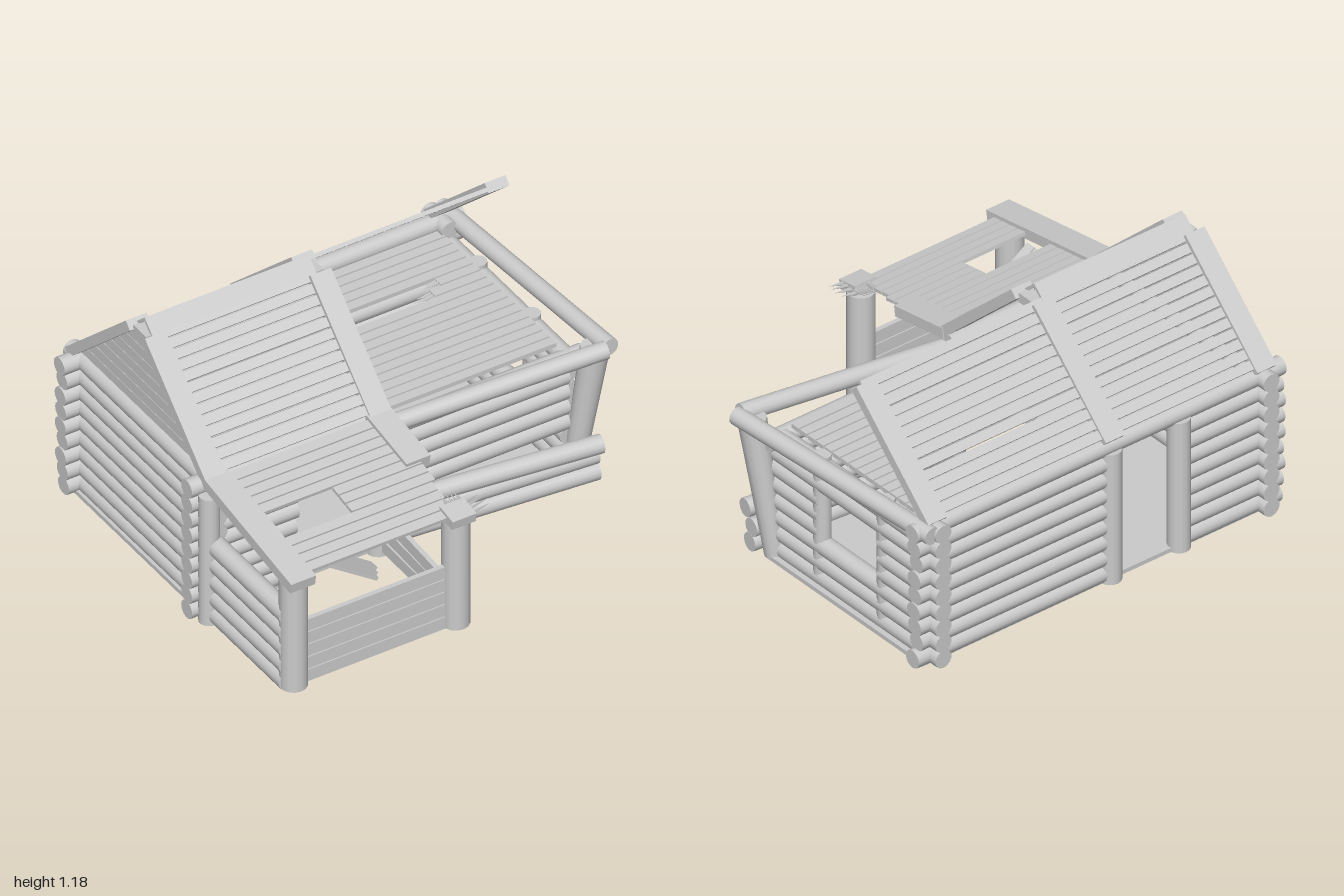
import * as THREE from 'three';

const mat = new THREE.MeshStandardMaterial({ color: 0xcccccc });
const UP = new THREE.Vector3(0, 1, 0);
const R = 0.042, STEP = 0.077;
const rowY = (i) => R + STEP * i;

export function createModel() {
  const model = new THREE.Group();
  let parent = model;
  let seed = 7;
  const rand = () => (seed = (seed * 16807) % 2147483647) / 2147483647;

  function section(name) {
    parent = new THREE.Group();
    parent.name = name;
    model.add(parent);
  }
  function add(name, geometry) {
    const mesh = new THREE.Mesh(geometry, mat);
    mesh.name = name;
    parent.add(mesh);
    return mesh;
  }
  // Round log between two points
  function log(name, a, b, r = R, r2 = r) {
    const p = new THREE.Vector3(...a), q = new THREE.Vector3(...b);
    const d = q.clone().sub(p);
    const m = add(name, new THREE.CylinderGeometry(r2, r, d.length(), 14));
    m.position.copy(p).add(q).multiplyScalar(0.5);
    m.quaternion.setFromUnitVectors(UP, d.normalize());
  }
  function box(name, w, h, d, x, y, z) {
    const m = add(name, new THREE.BoxGeometry(w, h, d));
    m.position.set(x, y, z);
    return m;
  }
  // Board lying in the slope from [y0, z0] to [y1, z1], spanning x0 to x1
  function slab(name, x0, x1, [y0, z0], [y1, z1], t, gap = 0) {
    const dy = y1 - y0, dz = z1 - z0;
    const m = box(name, x1 - x0, t, Math.hypot(dy, dz) - gap, (x0 + x1) / 2, (y0 + y1) / 2, (z0 + z1) / 2);
    m.rotation.x = Math.atan2(-dy, dz);
  }
  // Row of boards along x; span(i) may shorten or drop a board
  function deck(name, x0, x1, a, b, n, t, gap, span = () => [[x0, x1]]) {
    const at = (k) => [a[0] + (b[0] - a[0]) * k / n, a[1] + (b[1] - a[1]) * k / n];
    for (let i = 0; i < n; i++)
      for (const [s, e] of span(i)) slab(name, s, e, at(i), at(i + 1), t, gap);
  }
  // Pointed slivers at a broken end
  function splinters(x, y, z, n, spread, dir) {
    for (let i = 0; i < n; i++) {
      const k = (i / (n - 1) - 0.5) * spread;
      const len = 0.05 + rand() * 0.06;
      const m = add('splinter', new THREE.ConeGeometry(0.012, len, 4));
      m.quaternion.setFromUnitVectors(UP, new THREE.Vector3(...dir).normalize());
      m.position.set(x + k * Math.abs(dir[2]), y + (rand() - 0.5) * 0.02, z + k * Math.abs(dir[0]))
        .addScaledVector(new THREE.Vector3(...dir).normalize(), len / 2);
    }
  }

  section('floor');
  box('floorSlab', 1.83, 0.02, 1.02, -0.025, 0.01, -0.31);

  section('backWall');
  for (let i = 0; i < 9; i++) {
    const y = rowY(i), z = -0.8;
    if (i === 8) log('topLog', [-1, y, z], [0.93, y, z]);
    else {
      log('wallLog', [-0.98 - rand() * 0.02, y, z], [-0.46, y, z]);
      log('wallLog', [-0.1, y, z], [0.9 + rand() * 0.03, y, z]);
    }
  }
  for (const x of [-0.46, -0.1]) log('doorPost', [x, 0, -0.81], [x, 0.64, -0.81], 0.05);

  section('frontWall');
  for (let i = 0; i < 9; i++) {
    const y = rowY(i), z = 0.17;
    if (i === 8) {
      log('topLog', [-1, y, z], [-0.05, y, z]);
      continue;
    }
    log('wallLog', [-1, y, z], [-0.5 + rand() * 0.02, y, z]);
    // The lowest logs have slid outwards at the far corner
    if (i < 3) log('slippedLog', [-0.06, y, 0.18], [0.91, y, [0.27, 0.26, 0.3][i]]);
    else log('wallLog', [-0.08, y, z], [0.82 + (i === 7 ? 0.08 : 0), y, z]);
  }
  log('doorPost', [-0.1, 0, 0.2], [-0.1, 0.64, 0.2], 0.052);
  log('cornerPost', [-0.93, 0, 0.23], [-0.93, 0.64, 0.23], 0.045);
  log('leaningPost', [0.85, 0.01, 0.18], [0.91, 0.66, 0.255], 0.045, 0.062);
  log('fallenTopLog', [-0.06, 0.62, 0.2], [0.93, 0.67, 0.305], 0.04);

  section('sideWalls');
  for (let i = 0; i < 9; i++) {
    const y = rowY(i);
    log('wallLog', [-0.89, y, -0.88], [-0.89, y, 0.24]);
    if (i === 8) log('shiftedTopLog', [0.88, 0.665, -0.87], [0.955, 0.67, 0.3], 0.04);
    if (i === 8) log('cornerLog', [0.83, y, -0.88], [0.83, y, -0.72]);
    else if (i >= 3 && i <= 5) {
      log('wallLog', [0.83, y, -0.88], [0.83, y, -0.5]);
      log('wallLog', [0.83, y, -0.11], [0.83, y, 0.19]);
    } else log('wallLog', [0.83, y, -0.88], [0.83, y, 0.18]);
  }
  for (const z of [-0.1, -0.51]) log('windowPost', [0.83, 0, z], [0.83, 0.64, z], 0.038);

  // Ceiling boards with a broken gap towards the back
  section('ceiling');
  deck('ceilingBoard', -0.85, 0.8, [0.64, 0.14], [0.64, -0.76], 17, 0.02, 0.008,
    (i) => (i === 10 || i === 11 ? [[-0.85, 0.0], [0.55 + (i - 10) * 0.06, 0.8]] : [[-0.85, 0.8]]));
  for (const z of [-0.41, -0.47]) {
    splinters(0, 0.64, z, 3, 0.035, [1, 0, 0]);
    splinters(z < -0.45 ? 0.61 : 0.55, 0.64, z, 3, 0.035, [-1, 0, 0]);
  }

  section('roof');
  const frontEave = [0.705, 0.205], frontTop = [1.135, -0.27];
  const backEave = [0.705, -0.82], backTop = [1.135, -0.345];
  deck('frontRoofBoard', -0.87, -0.12, frontEave, frontTop, 13, 0.018, 0.008);
  deck('backRoofBoard', -0.87, 0.84, backEave, backTop, 13, 0.018, 0.008);
  for (const x of [-0.895, -0.1]) slab('frontBargeBoard', x - 0.05, x + 0.05, [0.69, 0.215], [1.125, -0.25], 0.045);
  for (const x of [-0.895, -0.1, 0.83]) slab('backBargeBoard', x - 0.05, x + 0.05, [0.69, -0.83], [1.125, -0.365], 0.045);
  slab('ridgeBoard', -0.9, -0.11, [1.11, -0.24], [1.178, -0.312], 0.014);
  slab('ridgeBoard', -0.9, -0.11, [1.11, -0.378], [1.178, -0.306], 0.014);
  for (const x of [-0.895, -0.1]) box('ridgeBlock', 0.06, 0.045, 0.1, x, 1.105, -0.308);

  // Gable closed with stacked boards trimmed to the roof slope
  section('gable');
  for (let i = 0; i < 8; i++) {
    const h = 0.052, y = 0.69 + i * 0.055;
    const half = (yy) => Math.max(0.01, (1.14 - yy) * 1.06 + 0.03);
    const s = new THREE.Shape([
      new THREE.Vector2(-half(y), y), new THREE.Vector2(half(y), y),
      new THREE.Vector2(half(y + h), y + h), new THREE.Vector2(-half(y + h), y + h),
    ]);
    const m = add('gableBoard', new THREE.ExtrudeGeometry(s, { depth: 0.02, bevelEnabled: false }));
    m.rotation.y = Math.PI / 2;
    m.position.set(-0.9, 0, -0.308);
  }

  section('porch');
  for (const x of [-0.885, -0.105]) log('porchPost', [x, 0.02, 0.8], [x, 0.56, 0.8], 0.06);
  const roofY = (z) => 0.69 - (z - 0.21) * 0.17;
  slab('porchBeam', -0.945, -0.825, [roofY(0.2), 0.2], [roofY(0.875), 0.875], 0.05);
  slab('brokenBeam', -0.16, -0.045, [roofY(0.2), 0.2], [roofY(0.51), 0.51], 0.05);
  slab('beamStump', -0.165, -0.05, [roofY(0.77), 0.77], [roofY(0.87), 0.87], 0.045);
  splinters(-0.105, roofY(0.77), 0.775, 7, 0.1, [0, 0.1, -1]);
  splinters(-0.06, roofY(0.8), 0.81, 4, 0.08, [1, 0.2, 0]);
  deck('porchRoofBoard', -0.84, -0.1, [roofY(0.21), 0.21], [roofY(0.83), 0.83], 12, 0.016, 0.007,
    (i) => (i >= 5 && i <= 7 ? [[-0.49, -0.09]] : [[-0.84, i > 7 ? -0.11 : -0.09]]));
  // Boards that dropped through the porch roof
  for (let i = 0; i < 3; i++) {
    const dx = 0.53 - i * 0.03, dy = -0.37 + i * 0.02;
    const m = box('fallenBoard', Math.hypot(dx, dy), 0.016, 0.047, -0.84 + dx / 2, 0.565 + dy / 2, 0.5 + i * 0.052);
    m.rotation.z = Math.atan2(dy, dx);
  }
  // Low walls: logs on one side, boards on the front and the other side
  for (let i = 0; i < 5; i++) {
    const y = 0.045 + i * 0.085;
    log('porchLog', [-0.91, y, 0.2], [-0.91, y, 0.8], 0.044);
  }
  for (let i = 0; i < 5; i++) box('frontRailBoard', 0.72, 0.059, 0.022, -0.495, 0.045 + i * 0.064, 0.8);
  for (let i = 0; i < 3; i++) {
    const m = box('sideRailBoard', 0.022, 0.058, 0.55, -0.1, 0.05 + i * 0.066, 0.5);
    m.rotation.x = 0.02 + i * 0.03;
  }

  return model;
}
